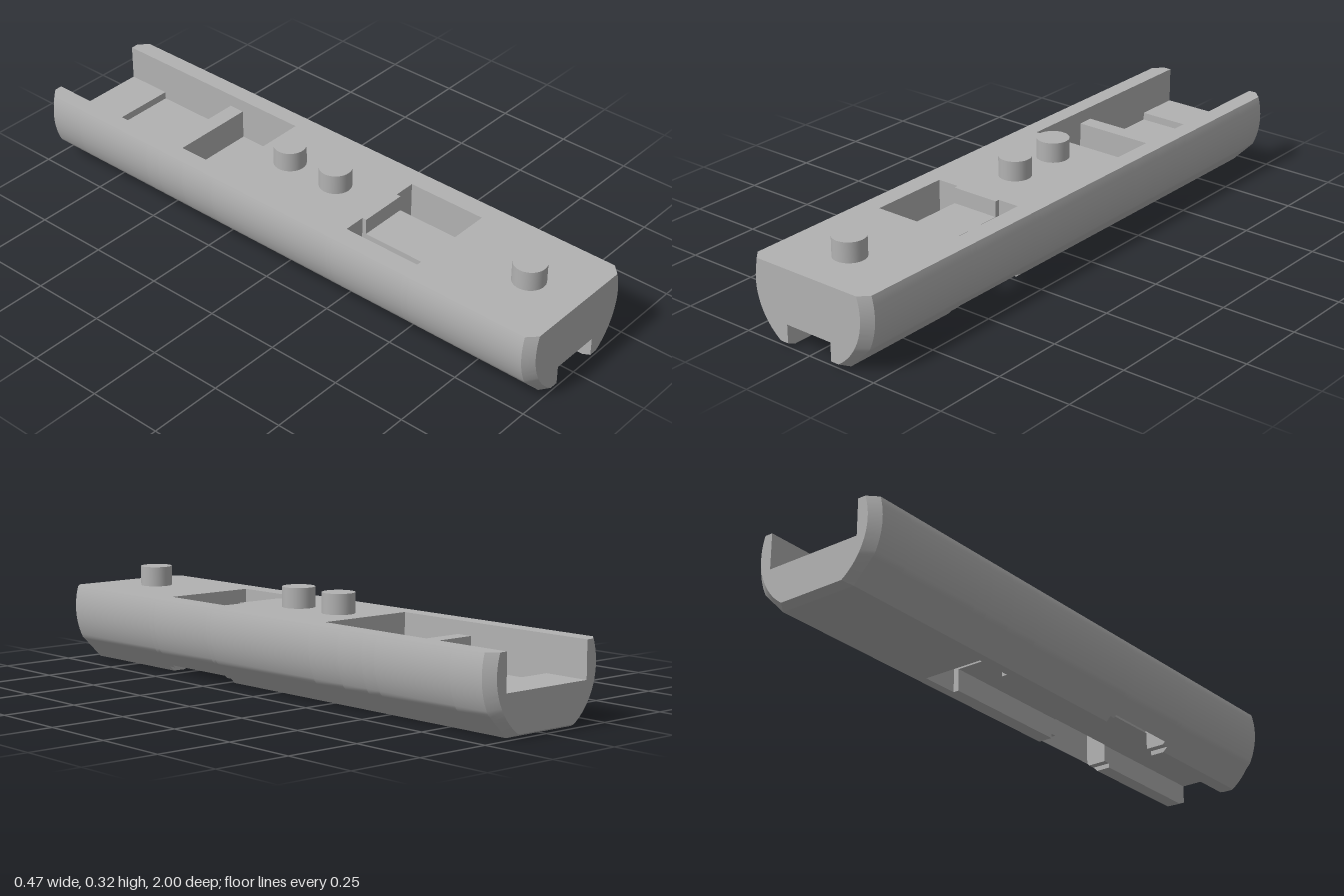
import * as THREE from 'three';
import { toCreasedNormals } from 'three/addons/utils/BufferGeometryUtils.js';

const TOP = 0.253, CY = 0.183, R = 0.235, R_END = 0.206;
const ARC = 18, BEVEL = 8;

// Points on a circle round the body axis, from height ya down to yb.
function arc(r, ya, yb, n) {
  const a = Math.asin((ya - CY) / r), b = Math.asin((yb - CY) / r);
  return Array.from({ length: n + 1 }, (_, i) => {
    const t = a + (b - a) * i / n;
    return [r * Math.cos(t), CY + r * Math.sin(t)];
  });
}

// Half of the outer outline: round flank, then a straight bevel to the flat bottom.
function outer() {
  const pts = arc(R, TOP, 0.076, ARC);
  const [x0, y0] = pts[ARC];
  for (let i = 1; i <= BEVEL; i++) {
    const t = i / BEVEL;
    pts.push([x0 + (0.135 - x0) * t, y0 * (1 - t)]);
  }
  return pts;
}

// Smaller outline on the chamfered end faces, with matching points.
const outerEnd = () => [
  ...arc(R_END, TOP, 0.085, ARC),
  ...arc(R_END, 0.085, 0.012, BEVEL).slice(1),
];

// Outer outline cut off on the bevel at a given x.
function outerTo(x) {
  const y = (x - 0.135) * 0.076 / 0.0745;
  return [...outer().filter(p => p[1] > y + 0.001), [x, y]];
}

const mirror = pts => pts.map(([x, y]) => [-x, y]).reverse();
const whole = half => [...half, ...mirror(half)];

// Extrude an outline from z0 to z1; optionally reshape one end to endPts.
function slice(pts, z0, z1, endPts, endZ) {
  const shape = new THREE.Shape(pts.map(p => new THREE.Vector2(...p)));
  const geo = new THREE.ExtrudeGeometry(shape, { depth: z1 - z0, bevelEnabled: false });
  geo.translate(0, 0, z0);
  if (endPts) {
    const pos = geo.attributes.position;
    const key = (x, y) => x.toFixed(4) + ',' + y.toFixed(4);
    const target = new Map(pts.map((p, i) => [key(...p), endPts[i]]));
    for (let i = 0; i < pos.count; i++) {
      if (Math.abs(pos.getZ(i) - endZ) > 1e-4) continue;
      const t = target.get(key(pos.getX(i), pos.getY(i)));
      if (t) pos.setXY(i, t[0], t[1]);
    }
  }
  return toCreasedNormals(geo, 0.35);
}

export function createModel() {
  const model = new THREE.Group();
  const grey = new THREE.MeshStandardMaterial({ color: 0xb2b2b2 });
  grey.name = 'plain grey';

  const add = (name, geo) => {
    const mesh = new THREE.Mesh(geo, grey);
    mesh.name = name;
    model.add(mesh);
    return mesh;
  };

  // Rear tray: open at the top, with a shelf, a floor and a cross rib
  const tray = floor => [[0.167, floor], [0.167, TOP]];
  const trayHalf = floor => [...tray(floor), ...outer()];
  const SHELF = 0.135, FLOOR = 0.11, RIB = 0.21;
  add('rearChamfer', slice(whole(trayHalf(SHELF)), -1, -0.97,
    whole([...tray(SHELF), ...outerEnd()]), -1));
  [
    ['rearShelf', SHELF, -0.97, -0.845],
    ['trayFloor', FLOOR, -0.845, -0.535],
    ['trayRib', RIB, -0.535, -0.48],
    ['pitFloor', FLOOR, -0.48, -0.375],
  ].forEach(([name, floor, z0, z1]) => add(name, slice(whole(trayHalf(floor)), z0, z1)));

  // Both sides of the through hole in the tray
  const holeSide = [[0.105, FLOOR], ...trayHalf(FLOOR), [0.105, 0]];
  add('holeSideLeft', slice(holeSide, -0.375, -0.245));
  add('holeSideRight', slice(mirror(holeSide), -0.375, -0.245));

  // Solid body with a channel along the underside
  const channel = y => [[0.086, y], [0.086, 0.073]];
  const channelHalf = [...outer(), ...channel(0)];
  add('middleBody', slice(whole(channelHalf), -0.245, 0.23));
  add('frontBody', slice(whole(channelHalf), 0.55, 0.97));
  add('frontChamfer', slice(whole(channelHalf), 0.97, 1,
    whole([...outerEnd(), ...channel(0.012)]), 1));

  // Shallow recess under each end of the pocket
  const lip = outerTo(0.15);
  const recessHalf = [...lip, ...channel(lip[lip.length - 1][1])];
  add('recessRear', slice(whole(recessHalf), 0.23, 0.25));
  add('recessFront', slice(whole(recessHalf), 0.525, 0.55));

  // Pocket: outer walls, a centre plate and a rear tab
  const wall = [[0.158, TOP], ...outerTo(0.158)];
  add('pocketWallLeft', slice(wall, 0.25, 0.525));
  add('pocketWallRight', slice(mirror(wall), 0.25, 0.525));
  const box = (name, w, y0, y1, z0, z1) => {
    const geo = new THREE.BoxGeometry(w, y1 - y0, z1 - z0);
    add(name, geo).position.set(0, (y0 + y1) / 2, (z0 + z1) / 2);
  };
  box('pocketPlate', 0.166, 0.073, 0.2, 0.265, 0.525);
  box('pocketTab', 0.166, 0.073, TOP, 0.25, 0.265);

  // Round pegs on the top
  for (const z of [-0.12, 0.07, 0.82]) {
    add('peg', new THREE.CylinderGeometry(0.053, 0.053, 0.066, 40))
      .position.set(0, TOP + 0.033, z);
  }
  return model;
}
